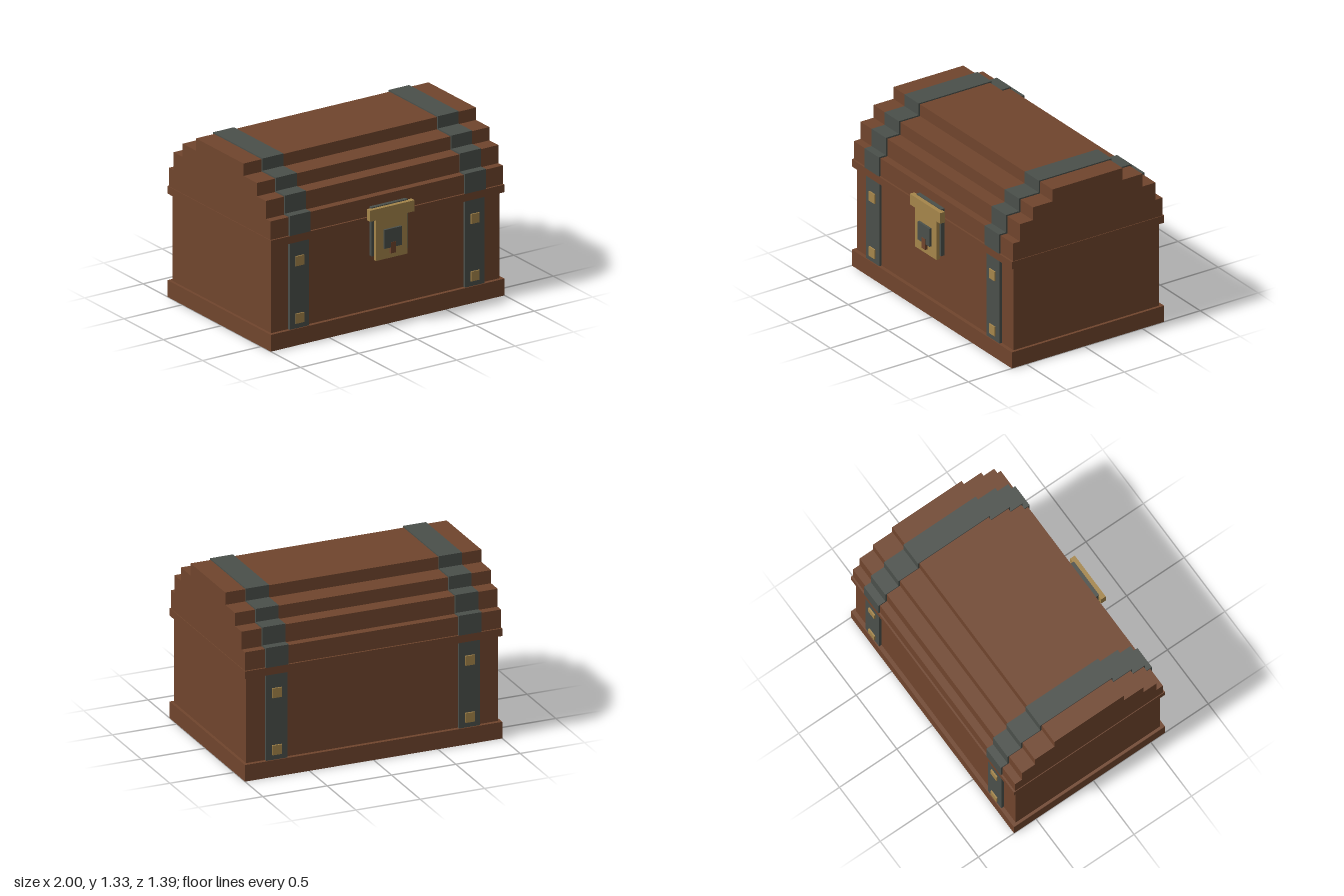
import * as THREE from 'three';

const material = (name, color) => {
  const m = new THREE.MeshStandardMaterial({ color });
  m.name = name;
  return m;
};

export function createModel() {
  const wood = material('brown wood', 0x70452d);
  const iron = material('dark iron', 0x4a4f4a);
  const brass = material('brass', 0xa5854a);

  const chest = new THREE.Group();
  chest.name = 'chest';

  const add = (parent, name, geometry, mat) => {
    const mesh = new THREE.Mesh(geometry, mat);
    mesh.name = name;
    parent.add(mesh);
    return mesh;
  };

  // Box given by its limits on each axis
  const block = (parent, name, mat, [x0, x1], [y0, y1], [z0, z1]) => {
    const g = new THREE.BoxGeometry(x1 - x0, y1 - y0, z1 - z0);
    g.translate((x0 + x1) / 2, (y0 + y1) / 2, (z0 + z1) / 2);
    return add(parent, name, g, mat);
  };

  // Stepped arch in the z-y plane, extruded along x; steps are [back z, front z, top y]
  const steppedArch = (steps, bottom, width, centre) => {
    const front = [], back = [];
    let y = bottom;
    for (const [zBack, zFront, top] of steps) {
      front.push([zFront, y], [zFront, top]);
      back.unshift([zBack, top], [zBack, y]);
      y = top;
    }
    const shape = new THREE.Shape([...front, ...back].map(([a, b]) => new THREE.Vector2(a, b)));
    const g = new THREE.ExtrudeGeometry(shape, { depth: width, bevelEnabled: false });
    g.translate(0, 0, -width / 2);
    g.rotateY(-Math.PI / 2);
    g.translate(centre, 0, 0);
    return g;
  };

  // Box body, plinth and rim
  block(chest, 'plinth', wood, [-1, 1], [0, 0.127], [-0.69, 0.624]);
  block(chest, 'body', wood, [-0.978, 0.978], [0.12, 0.79], [-0.66, 0.595]);
  block(chest, 'rim', wood, [-1, 1], [0.785, 0.843], [-0.69, 0.624]);

  // Stepped lid
  const lidSteps = [
    [-0.677, 0.61, 0.984],
    [-0.618, 0.552, 1.121],
    [-0.504, 0.439, 1.222],
    [-0.335, 0.269, 1.316],
  ];
  add(chest, 'lid', steppedArch(lidSteps, 0.84, 1.99, 0), wood);

  // Iron straps with brass studs, mirrored left and right
  const strapSteps = [
    [-0.691, 0.625, 0.995],
    [-0.631, 0.564, 1.132],
    [-0.517, 0.452, 1.232],
    [-0.348, 0.281, 1.325],
  ];
  for (const side of [-1, 1]) {
    const x = side * 0.75;
    const straps = new THREE.Group();
    straps.name = side > 0 ? 'leftStraps' : 'rightStraps';
    chest.add(straps);
    add(straps, 'lidStrap', steppedArch(strapSteps, 0.843, 0.178, x), iron);
    for (const [name, zs, studs] of [
      ['front', [0.585, 0.616], [0.61, 0.626]],
      ['back', [-0.681, -0.65], [-0.692, -0.675]],
    ]) {
      block(straps, name + 'Strap', iron, [x - 0.082, x + 0.082], [0.127, 0.785], zs);
      for (const y of [0.203, 0.64]) {
        block(straps, name + 'Stud', brass, [x - 0.036, x + 0.036], [y - 0.037, y + 0.037], studs);
      }
    }
  }

  // Lock: iron backing, brass T-plate, iron keyhole cover and keyhole
  const lock = new THREE.Group();
  lock.name = 'lock';
  chest.add(lock);
  block(lock, 'lockBacking', iron, [-0.155, 0.155], [0.551, 0.922], [0.62, 0.651]);
  block(lock, 'lockBar', brass, [-0.19, 0.19], [0.832, 0.916], [0.643, 0.683]);
  block(lock, 'lockPlate', brass, [-0.135, 0.135], [0.521, 0.835], [0.647, 0.678]);
  block(lock, 'keyholeCover', iron, [-0.074, 0.074], [0.605, 0.748], [0.67, 0.695]);
  block(lock, 'keyhole', wood, [-0.021, 0.021], [0.56, 0.645], [0.67, 0.697]);

  return chest;
}
